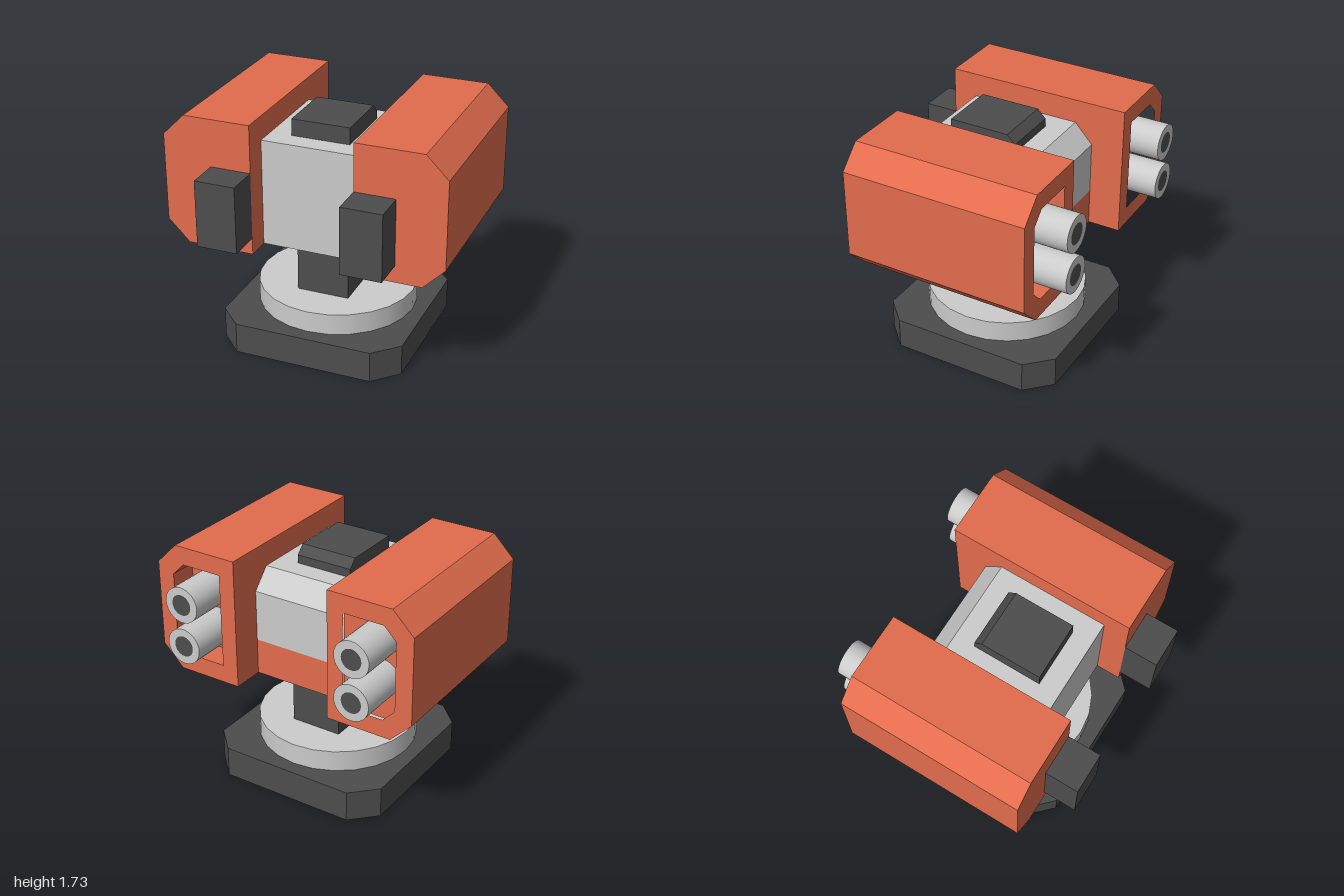
import * as THREE from 'three';

const grey = new THREE.MeshStandardMaterial({ color: 0xcccccc });
const dark = new THREE.MeshStandardMaterial({ color: 0x4d4d4d });
const orange = new THREE.MeshStandardMaterial({ color: 0xe26c4d });

export function createModel() {
  const model = new THREE.Group();

  const add = (name, geometry, material, x = 0, y = 0, z = 0) => {
    const mesh = new THREE.Mesh(geometry, material);
    mesh.name = name;
    mesh.position.set(x, y, z);
    model.add(mesh);
    return mesh;
  };
  // Box given by its limits on each axis
  const addBox = (name, material, [x0, x1], [y0, y1], [z0, z1]) =>
    add(name, new THREE.BoxGeometry(x1 - x0, y1 - y0, z1 - z0), material,
      (x0 + x1) / 2, (y0 + y1) / 2, (z0 + z1) / 2);
  const toPoints = (pts) => pts.map(([x, y]) => new THREE.Vector2(x, y));
  const extrude = (pts, depth, hole) => {
    const shape = new THREE.Shape(toPoints(pts));
    if (hole) shape.holes.push(new THREE.Path(toPoints(hole)));
    return new THREE.ExtrudeGeometry(shape, { depth, bevelEnabled: false });
  };
  // Side profile in (z, y), swept across the width
  const sweepX = (pts, width) =>
    extrude(pts.map(([z, y]) => [-z, y]), width).translate(0, 0, -width / 2).rotateY(Math.PI / 2);

  // Octagonal foot
  const a = 0.67, b = 0.5;
  const foot = extrude([[b, -a], [a, -b], [a, b], [b, a], [-b, a], [-a, b], [-a, -b], [-b, -a]], 0.225);
  add('base', foot.rotateX(-Math.PI / 2), dark);

  // Turntable and post
  add('turntable', new THREE.CylinderGeometry(0.57, 0.57, 0.155, 24), grey, 0, 0.3025, 0);
  addBox('post', dark, [-0.19, 0.19], [0.38, 0.79], [-0.29, 0.29]);

  // Central housing with a bevelled rear edge and a coloured rear panel
  add('housing', sweepX([[0.465, 0.79], [0.465, 1.56], [-0.33, 1.56], [-0.46, 1.42],
    [-0.46, 1.05], [-0.44, 1.05], [-0.44, 0.79]], 0.73), grey);
  addBox('rearPanel', orange, [-0.365, 0.365], [0.79, 1.05], [-0.46, -0.44]);

  // Sensor block on the roof
  add('roofBlock', sweepX([[0.315, 1.56], [0.315, 1.68], [-0.12, 1.68],
    [-0.18, 1.62], [-0.18, 1.56]], 0.42), dark);

  // Side pods: outer corners cut off, recess at the rear holding two tubes
  const zBack = -0.695, zFloor = -0.495, zFront = 0.64, zTip = -0.88;
  const podOutline = [[0.365, 0.79], [0.845, 0.79], [1, 0.945], [1, 1.575], [0.845, 1.73], [0.365, 1.73]];
  const recess = [[0.485, 0.92], [0.785, 0.92], [0.875, 1.01], [0.875, 1.51], [0.785, 1.6], [0.485, 1.6]];
  const tubeProfile = toPoints([[0.075, 0], [0.13, 0], [0.13, zTip - zFloor], [0.075, zTip - zFloor]]
    .map(([r, h]) => [r, -h]));

  for (const [side, s] of [['left', 1], ['right', -1]]) {
    const mirror = (pts) => pts.map(([x, y]) => [s * x, y]);
    add(side + 'Pod', extrude(mirror(podOutline), zFront - zFloor), orange, 0, 0, zFloor);
    add(side + 'PodRim', extrude(mirror(podOutline), zFloor - zBack, mirror(recess)), orange, 0, 0, zBack);
    addBox(side + 'FrontBlock', dark, s > 0 ? [0.365, 0.655] : [-0.655, -0.365], [0.91, 1.39], [zFront, 0.88]);

    for (const y of [1.1, 1.41]) {
      // Tube wall, flat ring at the mouth, dark core
      const length = zFloor - zTip;
      const wall = new THREE.CylinderGeometry(0.13, 0.13, length, 32, 1, true).rotateX(Math.PI / 2);
      add(side + 'Tube', wall, grey, s * 0.665, y, (zFloor + zTip) / 2);
      add(side + 'TubeMouth', new THREE.RingGeometry(0.075, 0.13, 32).rotateY(Math.PI), grey, s * 0.665, y, zTip);
      add(side + 'TubeCore', new THREE.CircleGeometry(0.075, 32).rotateY(Math.PI), dark, s * 0.665, y, zTip);
    }
  }
  return model;
}
